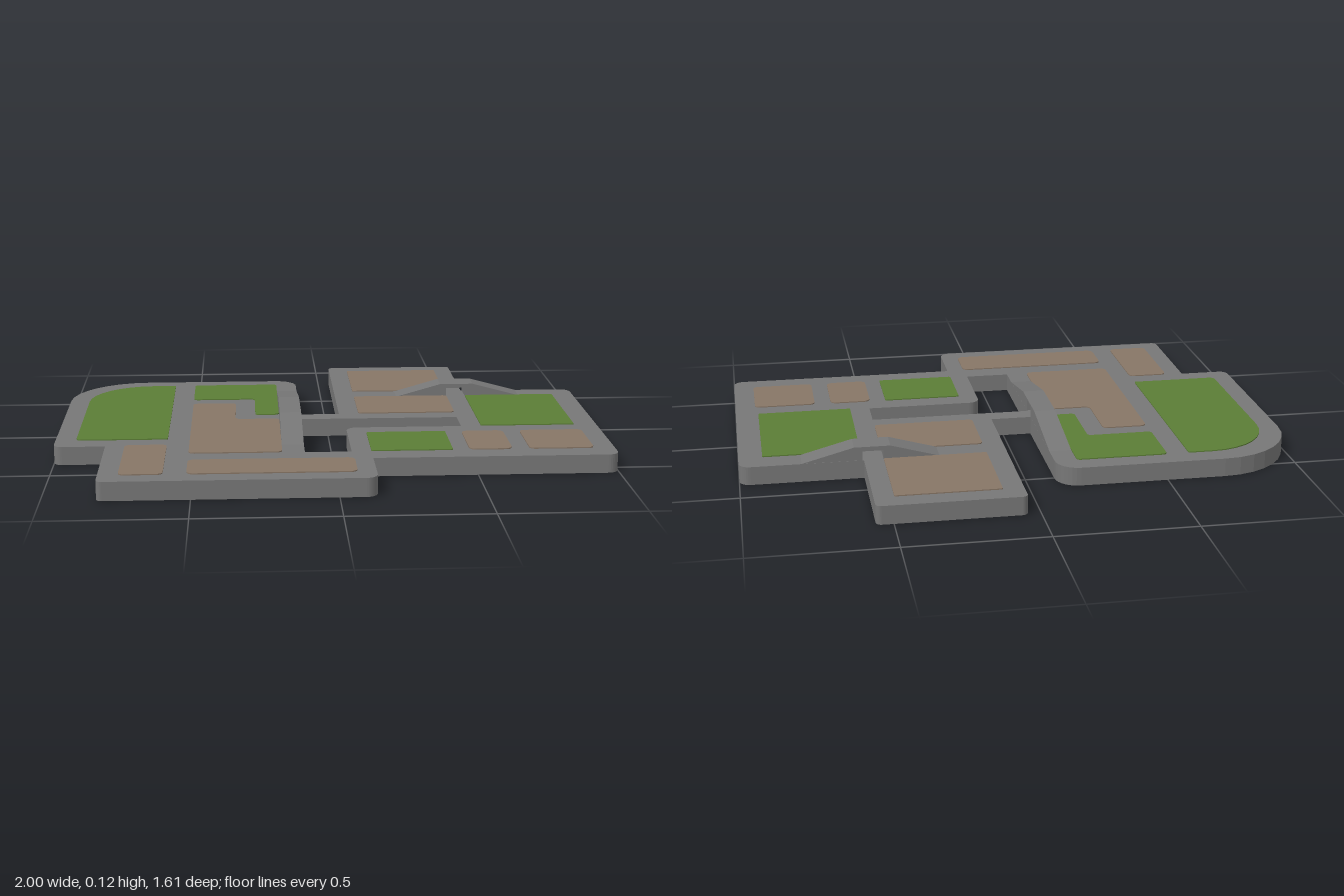
import * as THREE from 'three';

const TOP = 0.067;      // road surface height
const ARC = 0.5523;     // bezier factor for a quarter circle

// Shape from [x, z, cornerRadius] points, with rounded corners
function roundedShape(points, radius = 0) {
  const shape = new THREE.Shape();
  const n = points.length;
  const at = (i) => new THREE.Vector2(points[(i + n) % n][0], -points[(i + n) % n][1]);
  for (let i = 0; i < n; i++) {
    const p = at(i);
    const r = points[i][2] ?? radius;
    const toPrev = at(i - 1).sub(p).normalize();
    const toNext = at(i + 1).sub(p).normalize();
    const step = (dir, d) => p.clone().addScaledVector(dir, d);
    const a = step(toPrev, r);
    if (i === 0) shape.moveTo(a.x, a.y);
    else shape.lineTo(a.x, a.y);
    if (r > 0) {
      const c1 = step(toPrev, r * (1 - ARC)), c2 = step(toNext, r * (1 - ARC)), b = step(toNext, r);
      shape.bezierCurveTo(c1.x, c1.y, c2.x, c2.y, b.x, b.y);
    }
  }
  shape.closePath();
  return shape;
}

const rect = (x0, z0, x1, z1) => [[x0, z0], [x1, z0], [x1, z1], [x0, z1]];

// Upright wall from the ground to the road along a shape's edge
function skirt(shape, inward) {
  let pts = shape.getPoints(8);
  if (inward) pts = pts.reverse();
  const pos = [];
  for (let i = 0; i < pts.length; i++) {
    const a = pts[i], b = pts[(i + 1) % pts.length];
    if (a.distanceTo(b) < 1e-5) continue;
    const b0 = [b.x, 0, -b.y], a0 = [a.x, 0, -a.y];
    const a1 = [a.x, TOP, -a.y], b1 = [b.x, TOP, -b.y];
    pos.push(...b0, ...a0, ...a1, ...b0, ...a1, ...b1);
  }
  const geo = new THREE.BufferGeometry();
  geo.setAttribute('position', new THREE.Float32BufferAttribute(pos, 3));
  geo.computeVertexNormals();
  return geo;
}

// Humped bridge running along x, with a square passage beneath
function bridgeGeometry(start, rise, fall, end, p0, p1, passageTop, width) {
  const base = TOP + 0.0005, deck = 0.117;
  const profile = [[start, base], [p0, base], [p0, passageTop], [p1, passageTop],
    [p1, base], [end, base], [fall, deck], [rise, deck]];
  const shape = new THREE.Shape(profile.map(([x, y]) => new THREE.Vector2(x, y)));
  return new THREE.ExtrudeGeometry(shape, { depth: width, bevelEnabled: false });
}

export function createModel() {
  const group = new THREE.Group();
  const material = (name, color) => {
    const m = new THREE.MeshStandardMaterial({ color, side: THREE.DoubleSide });
    m.name = name;
    return m;
  };
  const asphalt = material('asphalt grey', 0x777777);
  const grass = material('grass green', 0x5b7d36);
  const earth = material('earth brown', 0x877666);
  const add = (name, geo, mat) => {
    const mesh = new THREE.Mesh(geo, mat);
    mesh.name = name;
    group.add(mesh);
    return mesh;
  };

  // Outer edge of the street block and the open courtyard in it
  const outline = roundedShape([
    [-1, -0.585, 0.29], [-0.105, -0.585, 0.08], [-0.105, -0.04], [0.045, -0.04],
    [0.045, -0.81, 0.02], [0.56, -0.81, 0.02], [0.56, -0.385], [1, -0.385, 0.04],
    [1, 0.565, 0.04], [0.13, 0.565], [0.13, 0.8, 0.04], [-0.815, 0.8, 0.02],
    [-0.815, 0.37], [-1, 0.37, 0.03],
  ]);
  const courtyard = roundedShape([
    [-0.105, 0.03], [0.49, 0.03], [0.49, 0.16], [0.06, 0.16, 0.04], [0.06, 0.48], [-0.105, 0.48],
  ]);

  // Plots of land between the roads
  const plots = [
    ['westLawn', grass, [[-0.925, -0.507, 0.24], [-0.595, -0.507], [-0.595, 0.29], [-0.925, 0.29, 0.02]], 0.005],
    ['cornerLawn', grass, [[-0.515, -0.51], [-0.185, -0.51], [-0.185, -0.04],
      [-0.275, -0.04], [-0.275, -0.28], [-0.515, -0.28]], 0.015],
    ['centrePlot', earth, [[-0.515, -0.21], [-0.35, -0.21], [-0.35, 0.03],
      [-0.185, 0.03], [-0.185, 0.48], [-0.515, 0.48]], 0.02],
    ['southWestPlot', earth, rect(-0.745, 0.37, -0.595, 0.73), 0.02],
    ['southPlot', earth, rect(-0.515, 0.565, 0.065, 0.73), 0.025],
    ['southLawn', grass, rect(0.13, 0.24, 0.42, 0.48), 0.008],
    ['smallPlot', earth, rect(0.48, 0.24, 0.633, 0.48), 0.025],
    ['southEastPlot', earth, rect(0.695, 0.24, 0.925, 0.48), 0.02],
    ['eastLawn', grass, rect(0.565, -0.295, 0.915, 0.16), 0.004],
    ['innerPlot', earth, rect(0.12, -0.295, 0.49, -0.04), 0.015],
    ['northPlot', earth, rect(0.12, -0.735, 0.49, -0.387), 0.006],
  ];

  // Road surface, open where the plots and courtyard lie
  const road = roundedShape([[0, 0], [1, 0], [1, 1]]);
  road.curves = outline.curves;
  road.holes.push(courtyard);
  for (const [name, mat, points, radius] of plots) {
    const shape = roundedShape(points, radius);
    road.holes.push(shape);
    const geo = new THREE.ExtrudeGeometry(shape, { depth: 0.004, bevelEnabled: false, curveSegments: 8 });
    add(name, geo.rotateX(-Math.PI / 2), mat).position.y = TOP;
  }
  add('roadSurface', new THREE.ShapeGeometry(road, 8).rotateX(-Math.PI / 2), asphalt).position.y = TOP;

  // Walls below the road, open underneath
  add('outerWall', skirt(outline, false), asphalt);
  add('courtyardWall', skirt(courtyard, true), asphalt);

  // Two humped bridges crossing over the roads
  const west = add('westBridge', bridgeGeometry(-0.41, -0.115, 0.115, 0.38, -0.04, 0.035, 0.111, 0.08), asphalt);
  west.rotation.y = -Math.PI / 2;
  west.position.x = -0.105;
  const east = add('eastBridge', bridgeGeometry(0.29, 0.465, 0.595, 0.78, 0.49, 0.565, 0.101, 0.09), asphalt);
  east.position.z = -0.385;

  return group;
}
